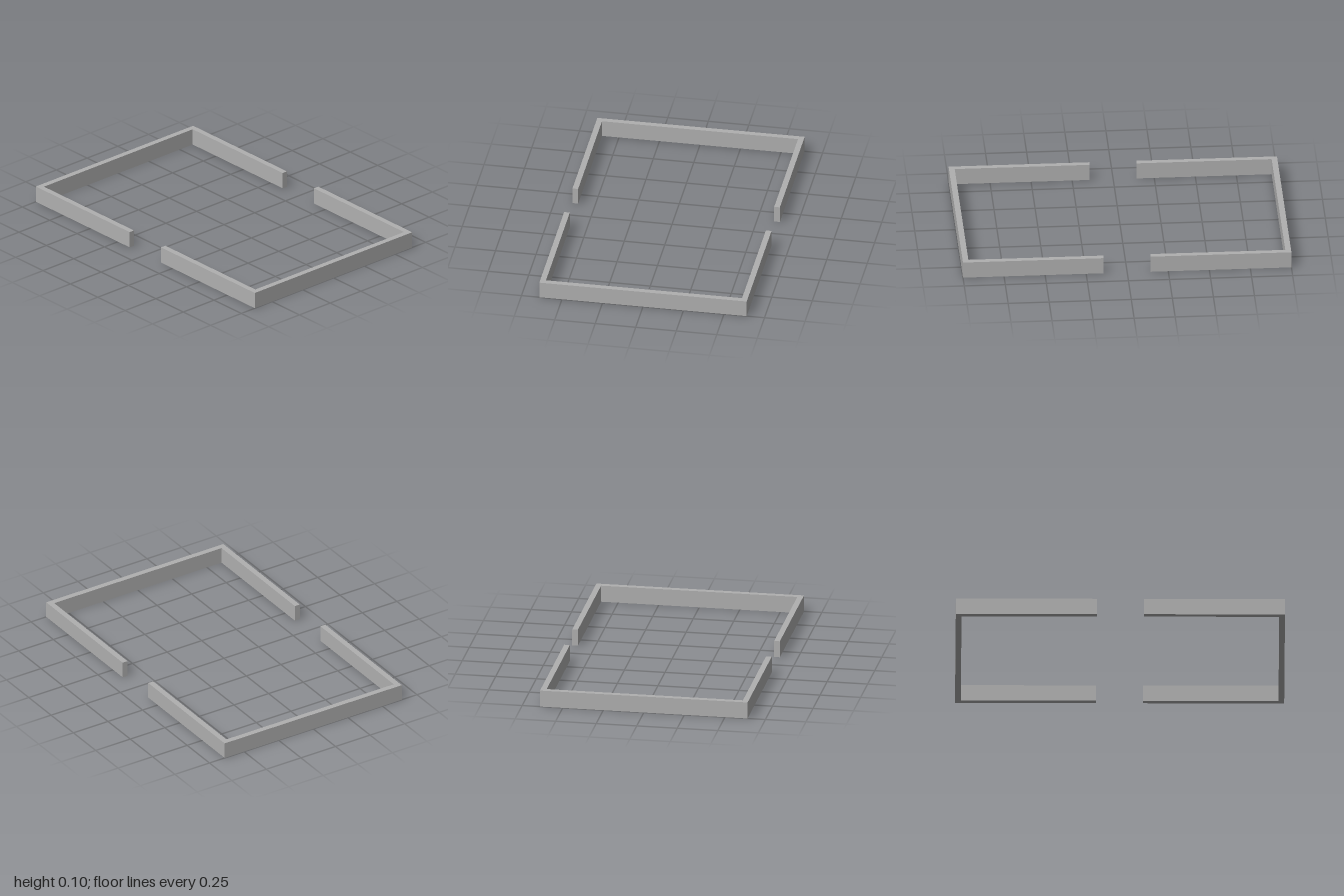
import * as THREE from 'three';

const HEIGHT = 0.103;
const HALF_X = 1, HALF_Z = 0.64, GAP = 0.143, WALL = 0.035;

// C-shaped plan of one half of the frame; side is +1 (left) or -1 (right)
function halfFrame(side, material) {
  const inX = HALF_X - WALL, inZ = HALF_Z - WALL;
  const plan = new THREE.Shape([
    [GAP, -HALF_Z], [HALF_X, -HALF_Z], [HALF_X, HALF_Z], [GAP, HALF_Z],
    [GAP, inZ], [inX, inZ], [inX, -inZ], [GAP, -inZ],
  ].map(([x, z]) => new THREE.Vector2(side * x, z)));
  const geometry = new THREE.ExtrudeGeometry(plan, { depth: HEIGHT, bevelEnabled: false });
  geometry.rotateX(-Math.PI / 2); // plan lies flat, extrusion points up
  return new THREE.Mesh(geometry, material);
}

export function createModel() {
  const group = new THREE.Group();
  group.name = 'lowWallFrame';
  const grey = new THREE.MeshStandardMaterial({ color: 0xb0b0b0 });
  grey.name = 'grey';

  // Two mirrored halves leave a gap at front and back
  for (const [name, side] of [['leftWall', 1], ['rightWall', -1]]) {
    const wall = halfFrame(side, grey);
    wall.name = name;
    group.add(wall);
  }
  return group;
}
